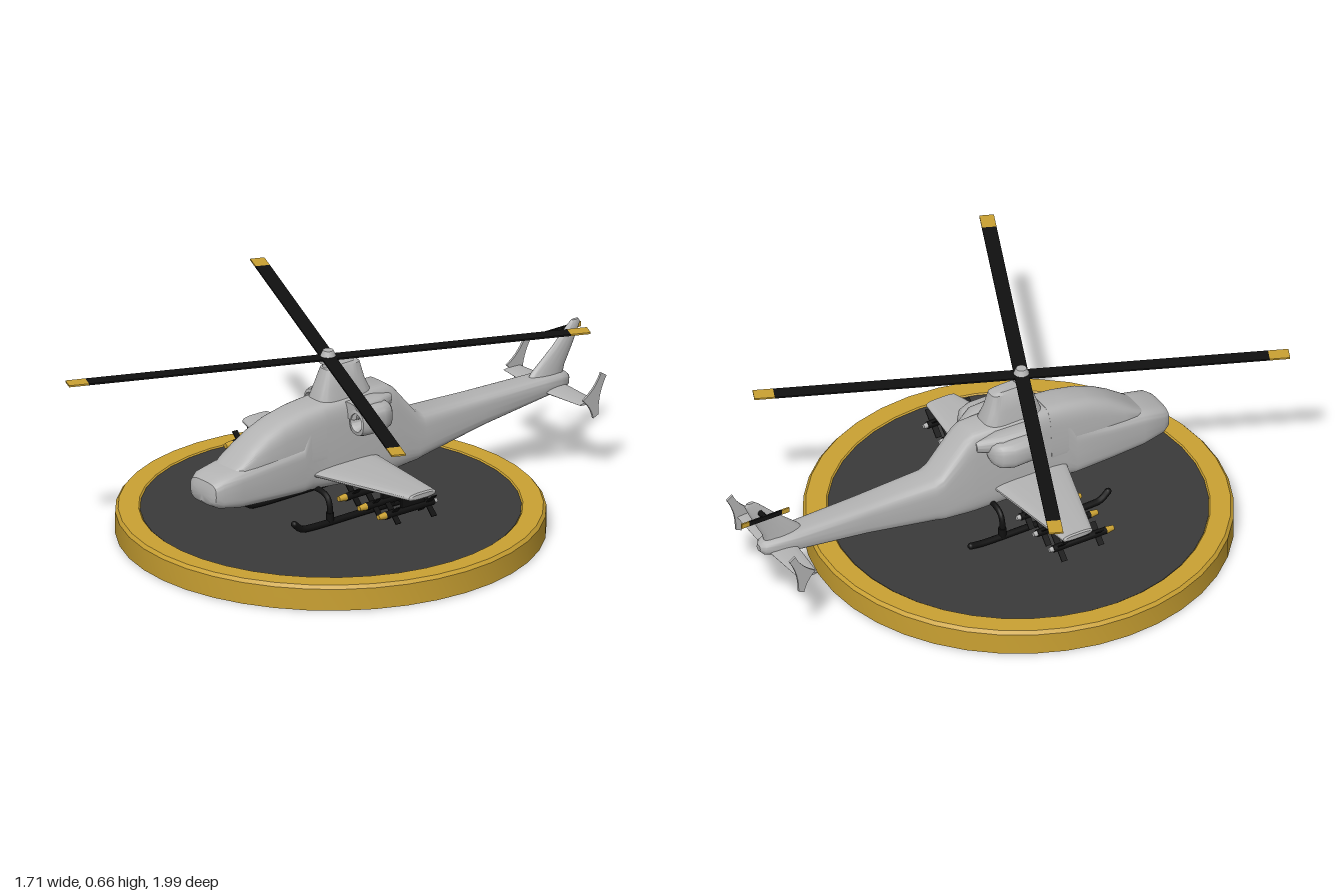
import * as THREE from 'three';
import { toCreasedNormals } from 'three/addons/utils/BufferGeometryUtils.js';

const mat = (name, color) => new THREE.MeshStandardMaterial({ name, color });

// Loft of superellipse rings, ordered from +z to -z: [z, halfWidth, yLow, yHigh, exponent, topTaper, centreX]
function loft(sections, crease = 0.6, n = 40) {
  const pos = [], idx = [];
  for (const [z, w, y0, y1, e = 2, taper = 0, cx = 0] of sections) {
    for (let j = 0; j < n; j++) {
      const a = (j / n) * Math.PI * 2, c = Math.cos(a), s = Math.sin(a);
      const u = Math.sign(c) * Math.abs(c) ** (2 / e), v = Math.sign(s) * Math.abs(s) ** (2 / e);
      pos.push(cx + u * w * (1 - taper * (v + 1) / 2), (y0 + y1) / 2 + v * (y1 - y0) / 2, z);
    }
  }
  const m = sections.length;
  for (let i = 0; i < m - 1; i++) for (let j = 0; j < n; j++) {
    const k = (j + 1) % n, a = i * n + j, b = i * n + k, c = a + n, d = b + n;
    idx.push(a, c, b, b, c, d);
  }
  // End caps
  const first = sections[0], last = sections[m - 1], f = m * n;
  for (const s of [first, last]) pos.push(s[6] ?? 0, (s[2] + s[3]) / 2, s[0]);
  for (let j = 0; j < n; j++) {
    const k = (j + 1) % n;
    idx.push(f, j, k, f + 1, (m - 1) * n + k, (m - 1) * n + j);
  }
  const g = new THREE.BufferGeometry();
  g.setAttribute('position', new THREE.Float32BufferAttribute(pos, 3));
  g.setIndex(idx);
  return toCreasedNormals(g, crease);
}

export function createModel() {
  const grey = mat('hull grey', 0xb4b4b4), gold = mat('gold', 0xcaa132);
  const black = mat('black', 0x101010), dark = mat('pad charcoal', 0x3a3a3a);
  const model = new THREE.Group();
  const add = (name, geo, material, x = 0, y = 0, z = 0, parent = model) => {
    const mesh = new THREE.Mesh(geo, material);
    mesh.name = name;
    mesh.position.set(x, y, z);
    parent.add(mesh);
    return mesh;
  };
  const group = (name, x, y, z) => {
    const g = new THREE.Group();
    g.name = name;
    g.position.set(x, y, z);
    model.add(g);
    return g;
  };
  const box = (x, y, z) => new THREE.BoxGeometry(x, y, z);
  const cyl = (r0, r1, h, n = 20) => new THREE.CylinderGeometry(r0, r1, h, n);

  // Display base
  const rim = [[0, 0], [0.735, 0], [0.735, 0.078], [0.725, 0.09], [0.655, 0.09], [0.648, 0.082]];
  add('baseRim', toCreasedNormals(new THREE.LatheGeometry(rim.map(p => new THREE.Vector2(...p)), 40), 0.5), gold, 0, 0, 0.128);
  add('basePad', cyl(0.65, 0.65, 0.02, 40), dark, 0, 0.076, 0.128);

  // Fuselage and tail boom
  add('fuselage', loft([
    [0.692, 0.055, 0.25, 0.3, 3],
    [0.685, 0.07, 0.24, 0.322, 3.5],
    [0.66, 0.082, 0.227, 0.338, 4],
    [0.58, 0.088, 0.212, 0.352, 4.5],
    [0.45, 0.09, 0.205, 0.365, 5],
    [0.31, 0.09, 0.198, 0.38, 5],
    [0.27, 0.09, 0.196, 0.485, 5, 0.15],
    [0.2, 0.09, 0.19, 0.497, 5, 0.15],
    [0.1, 0.09, 0.18, 0.5, 5, 0.15],
    [-0.08, 0.085, 0.177, 0.498, 5, 0.18],
    [-0.11, 0.083, 0.178, 0.478, 5, 0.18],
    [-0.205, 0.076, 0.185, 0.367, 4.5, 0.12],
    [-0.235, 0.074, 0.19, 0.353, 4, 0.1],
    [-0.5, 0.061, 0.233, 0.343, 4, 0.1],
    [-0.77, 0.05, 0.262, 0.336, 3.5],
    [-0.85, 0.042, 0.267, 0.333, 3],
    [-0.89, 0.03, 0.274, 0.325, 2.5],
    [-0.905, 0.012, 0.288, 0.312, 2],
  ]), grey);

  // Cockpit canopy
  add('canopy', loft([
    [0.59, 0.058, 0.33, 0.35, 3],
    [0.56, 0.076, 0.32, 0.372, 3, 0.1],
    [0.51, 0.083, 0.3, 0.41, 3.2, 0.15],
    [0.45, 0.086, 0.28, 0.446, 3.4, 0.15],
    [0.38, 0.088, 0.27, 0.473, 3.6, 0.15],
    [0.29, 0.0895, 0.25, 0.491, 4, 0.15],
    [0.21, 0.089, 0.25, 0.497, 4.5, 0.15],
  ], 0.5), grey);

  // Rotor pylon
  add('rotorPylon', loft([
    [0.608, 0.022, -0.15, -0.03, 4],
    [0.6, 0.03, -0.163, -0.015, 4],
    [0.54, 0.043, -0.185, 0, 4],
    [0.5, 0.054, -0.2, 0.018, 4],
    [0.48, 0.057, -0.205, 0.022, 4],
  ]).rotateX(-Math.PI / 2), grey);

  // Engine pods with hollow intakes
  for (const s of [-1, 1]) {
    const x = s * 0.12;
    add(s > 0 ? 'leftEngine' : 'rightEngine', loft([
      [0.06, 0.02, 0.41, 0.45, 2, 0, s * 0.125],
      [0.105, 0.024, 0.403, 0.453, 2, 0, s * 0.125],
      [0.118, 0.03, 0.395, 0.461, 2, 0, s * 0.125],
      [0.115, 0.038, 0.382, 0.472, 2.4, 0, s * 0.123],
      [0.095, 0.045, 0.378, 0.477, 2.7, 0, x],
      [0.02, 0.045, 0.376, 0.476, 2.8, 0, x],
      [-0.02, 0.041, 0.38, 0.472, 2.6, 0, s * 0.11],
      [-0.037, 0.03, 0.392, 0.46, 2.4, 0, s * 0.1],
      [-0.044, 0.012, 0.41, 0.44, 2, 0, s * 0.09],
    ]), grey);
    // Shoulder fairing joining pod to hull
    add('engineShoulder', loft([
      [0.115, 0.04, 0.43, 0.488, 3, 0, s * 0.085],
      [0, 0.04, 0.42, 0.488, 3, 0, s * 0.08],
      [-0.08, 0.015, 0.43, 0.47, 2, 0, s * 0.06],
    ]), grey);
  }

  // Main rotor
  const rotor = group('mainRotor', 0, 0.636, 0.14);
  add('mast', cyl(0.016, 0.02, 0.05), grey, 0, -0.012, 0, rotor);
  add('hubLowerDisc', cyl(0.03, 0.03, 0.012), grey, 0, -0.012, 0, rotor);
  add('hubCap', cyl(0.018, 0.027, 0.02), grey, 0, 0.017, 0, rotor);
  for (let i = 0; i < 2; i++) {
    const pair = new THREE.Group();
    pair.name = 'bladePair';
    pair.rotation.y = -0.413 + i * Math.PI / 2;
    rotor.add(pair);
    add('blades', box(1.7, 0.006, 0.05), black, 0, 0, 0, pair);
    for (const s of [-1, 1]) add('bladeTip', box(0.07, 0.006, 0.05), gold, s * 0.885, 0, 0, pair);
  }

  // Stub wings and tailplane, each lofted along x through the hull
  const wing = (name, half) => {
    const back = half.slice().reverse().map(([x, ...r]) => [-x, ...r]);
    add(name, loft([...half, ...back]).rotateY(Math.PI / 2), grey);
  };
  wing('stubWings', [
    [0.457, 0.05, 0.252, 0.268, 3, 0, -0.092],
    [0.452, 0.058, 0.247, 0.273, 3, 0, -0.092],
    [0.09, 0.14, 0.245, 0.275, 2.6, 0, -0.128],
  ]);
  wing('tailplane', [
    [0.207, 0.036, 0.281, 0.289, 2, 0, 0.83],
    [0.04, 0.05, 0.275, 0.295, 2, 0, 0.825],
  ]);

  // Swept endplates
  const plate = new THREE.Shape();
  plate.moveTo(-0.805, 0.3);
  plate.quadraticCurveTo(-0.86, 0.33, -0.885, 0.385);
  plate.lineTo(-0.908, 0.37);
  plate.quadraticCurveTo(-0.87, 0.31, -0.872, 0.235);
  plate.lineTo(-0.85, 0.225);
  plate.quadraticCurveTo(-0.84, 0.27, -0.805, 0.3);
  const plateGeo = new THREE.ExtrudeGeometry(plate, { depth: 0.008, bevelEnabled: false }).translate(0, 0, -0.004).rotateY(-Math.PI / 2);
  for (const s of [-1, 1]) add('tailEndplate', plateGeo, grey, s * 0.207);

  // Swept tail fin
  add('tailFin', loft([
    [0.502, 0.006, 0.925, 0.953],
    [0.49, 0.01, 0.908, 0.96],
    [0.42, 0.014, 0.835, 0.928],
    [0.35, 0.021, 0.75, 0.89],
    [0.31, 0.026, 0.72, 0.88],
  ]).rotateX(-Math.PI / 2), grey);

  // Tail rotor
  const tail = group('tailRotor', -0.045, 0.455, -0.905);
  add('tailBlades', box(0.006, 0.018, 0.13), black, 0, 0, 0, tail);
  for (const s of [-1, 1]) add('tailBladeTip', box(0.006, 0.018, 0.03), gold, 0, 0, s * 0.08, tail);
  add('tailHub', cyl(0.01, 0.01, 0.05, 12).rotateZ(Math.PI / 2), black, 0.022, 0, 0, tail);

  // Landing skids
  const tube = (name, pts, r) => add(name, new THREE.TubeGeometry(
    new THREE.CatmullRomCurve3(pts.map(p => new THREE.Vector3(...p))), 40, r, 10), black);
  for (const s of [-1, 1]) {
    const x = s * 0.14;
    tube('skid', [[x, 0.107, -0.145], [x, 0.102, -0.1], [x, 0.102, 0.1], [x, 0.102, 0.33], [x, 0.107, 0.37], [x, 0.132, 0.4]], 0.012);
    for (const [y, z] of [[0.107, -0.145], [0.132, 0.4]]) add('skidEnd', new THREE.SphereGeometry(0.012, 10, 8), black, x, y, z);
  }
  for (const z of [0.245, -0.02]) {
    const half = [[0.14, 0.1, z], [0.14, 0.16, z], [0.127, 0.188, z], [0.1, 0.2, z], [0.04, 0.202, z]];
    tube('skidLegs', [...half, ...half.slice().reverse().map(([x, y]) => [-x, y, z])], 0.01);
    for (const s of [-1, 1]) add('legSleeve', cyl(0.014, 0.014, 0.04, 12), black, s * 0.14, 0.117, z);
  }

  // Missiles under the wings
  const alongZ = (r0, r1, h) => cyl(r0, r1, h, 14).rotateX(Math.PI / 2);
  for (const s of [-1, 1]) for (const x of [0.2, 0.31, 0.415]) {
    const missile = group('missile', s * x, 0.207, 0.125);
    add('missileBody', alongZ(0.013, 0.013, 0.21), black, 0, 0, -0.005, missile);
    add('missileNose', alongZ(0.009, 0.013, 0.03), gold, 0, 0, 0.115, missile);
    add('missileNozzle', alongZ(0.01, 0.008, 0.015), grey, 0, 0, -0.117, missile);
    add('missilePylon', box(0.012, 0.05, 0.1), black, 0, 0.028, -0.02, missile);
    for (const [z, span] of [[0.065, 0.085], [-0.085, 0.105]]) for (const a of [-1, 1]) {
      add('missileFins', box(span, 0.004, 0.022), black, 0, 0, z, missile).rotation.z = a * Math.PI / 4;
    }
  }
  return model;
}
